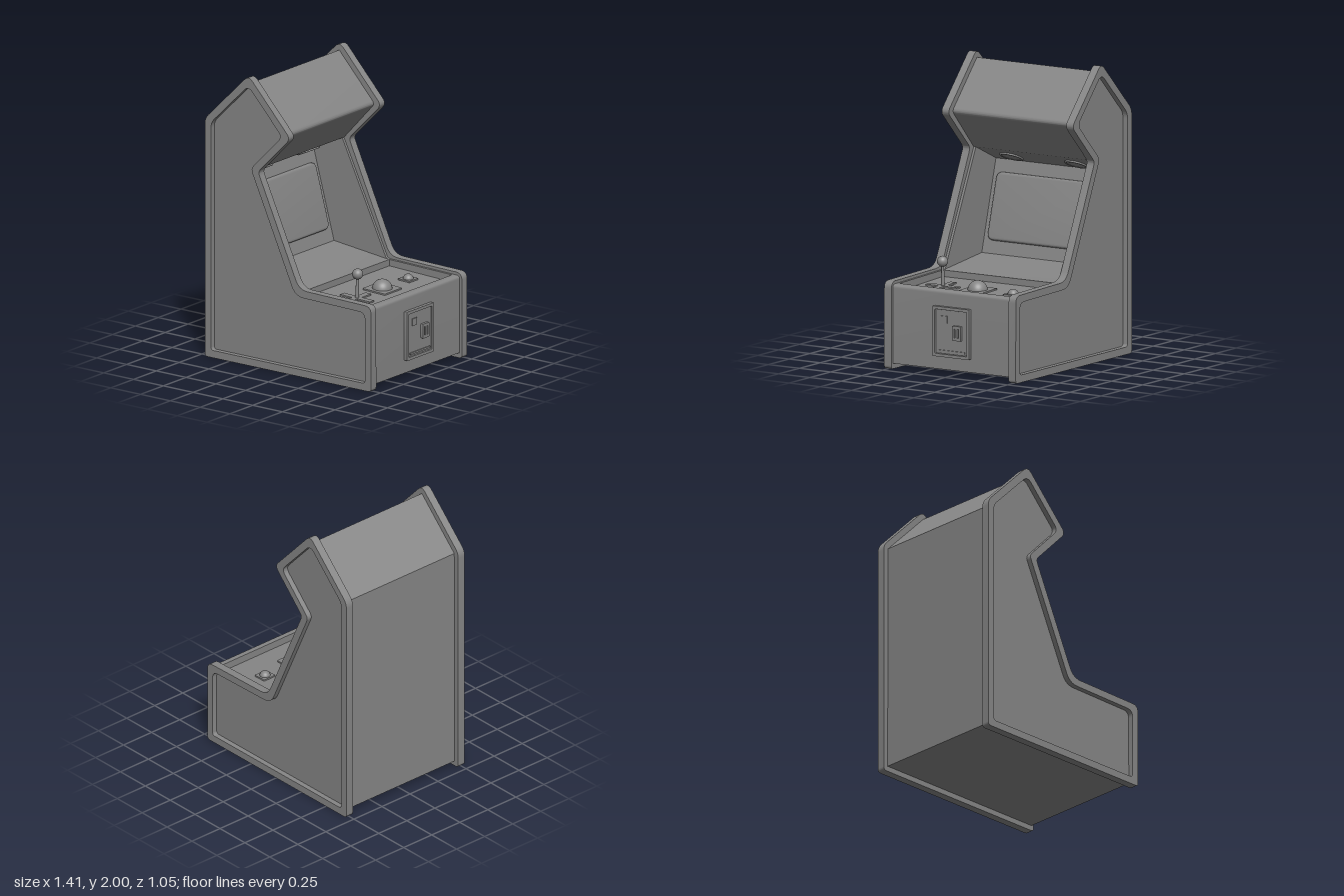
import * as THREE from 'three';
import { toCreasedNormals } from 'three/addons/utils/BufferGeometryUtils.js';

const material = new THREE.MeshStandardMaterial({ color: 0x868686 });
const V = (x, y) => new THREE.Vector2(x, y);

function add(parent, name, geometry, x = 0, y = 0, z = 0) {
  const mesh = new THREE.Mesh(geometry, material);
  mesh.name = name;
  mesh.position.set(x, y, z);
  parent.add(mesh);
  return mesh;
}

// Moves every edge of a counter-clockwise polygon inward by d
function inset(points, d) {
  const n = points.length;
  return points.map((p, i) => {
    const a = p.clone().sub(points[(i + n - 1) % n]).normalize();
    const b = points[(i + 1) % n].clone().sub(p).normalize();
    const na = V(-a.y, a.x), nb = V(-b.y, b.x);
    return p.clone().add(na.clone().add(nb).multiplyScalar(d / (1 + na.dot(nb))));
  });
}

// Shape with each corner rounded; radii holds the cut-back length per corner
function rounded(points, radii) {
  const shape = new THREE.Shape();
  const n = points.length;
  points.forEach((p, i) => {
    const r = Array.isArray(radii) ? radii[i] : radii;
    const toward = (q) => p.clone().add(q.clone().sub(p).setLength(r));
    const a = r ? toward(points[(i + n - 1) % n]) : p;
    if (i) shape.lineTo(a.x, a.y); else shape.moveTo(a.x, a.y);
    if (r) {
      const b = toward(points[(i + 1) % n]);
      shape.quadraticCurveTo(p.x, p.y, b.x, b.y);
    }
  });
  shape.closePath();
  return shape;
}

const rect = (w, h) => [V(-w / 2, -h / 2), V(w / 2, -h / 2), V(w / 2, h / 2), V(-w / 2, h / 2)];

function extrude(shape, depth, bevel = 0) {
  const geometry = new THREE.ExtrudeGeometry(shape, {
    depth, curveSegments: 8, bevelEnabled: bevel > 0,
    bevelSize: bevel, bevelThickness: bevel, bevelOffset: -bevel, bevelSegments: 5,
  });
  return toCreasedNormals(geometry, 0.36);
}

// Group lying on the surface from a to b: local y runs along it, z points out of it
function surface(parent, name, a, b, t) {
  const u = b.clone().sub(a).normalize();
  const group = new THREE.Group();
  group.name = name;
  group.setRotationFromMatrix(new THREE.Matrix4().makeBasis(
    new THREE.Vector3(0, 0, -1), new THREE.Vector3(u.x, u.y, 0), new THREE.Vector3(u.y, -u.x, 0)));
  const p = a.clone().lerp(b, t);
  group.position.set(p.x, p.y, 0);
  parent.add(group);
  return group;
}

export function createModel() {
  const model = new THREE.Group();
  model.name = 'arcadeCabinet';

  // Side profile of the cabinet, seen along z
  const outline = [V(-0.705, 0), V(0.691, 0), V(0.69, 0.592), V(0.087, 0.603),
    V(-0.258, 1.362), V(0.013, 1.637), V(-0.338, 2.017), V(-0.705, 1.655)];
  const corner = [0.025, 0.025, 0.05, 0.07, 0.03, 0.045, 0.05, 0.04];
  const hole = inset(outline, 0.051);

  // Side panels: raised rim around a sunken field
  for (const side of [1, -1]) {
    const panel = new THREE.Group();
    panel.name = side > 0 ? 'leftSidePanel' : 'rightSidePanel';
    const rim = rounded(outline, corner);
    rim.holes.push(rounded(hole, corner));
    add(panel, 'rim', extrude(rim, 0.057), 0, 0, side > 0 ? 0.47 : -0.527);
    add(panel, 'field', extrude(rounded(hole, corner), 0.02), 0, 0, side > 0 ? 0.47 : -0.49);
    model.add(panel);
  }

  // Body: two thin cheeks, and a core cut out for the screen and the sunken control deck
  const [, , , , , nose, apex, shoulder] = inset(outline, 0.04);
  const backBottom = V(-0.67, 0.037), frontBottom = V(0.671, 0.037), frontTop = V(0.671, 0.572);
  const notch = V(-0.3, 1.36);
  const cheek = [backBottom, frontBottom, frontTop, V(0.07, 0.586), notch, nose, apex, shoulder];
  for (const z of [0.452, -0.472]) {
    add(model, 'cheek', extrude(rounded(cheek, [0, 0, 0.025, 0.02, 0, 0.03, 0, 0]), 0.02), 0, 0, z);
  }
  const deckFront = V(0.62, 0.523), deckBack = V(0.095, 0.541);
  const wallBottom = V(-0.37, 0.634), wallTop = V(-0.54, 1.25);
  const core = [backBottom, frontBottom, frontTop, V(0.62, 0.5732), deckFront, deckBack,
    V(0.095, 0.5854), V(0.08, 0.586), wallBottom, wallTop, notch, nose, apex, shoulder];
  add(model, 'body', extrude(rounded(core, [0, 0, 0.025, 0, 0, 0, 0, 0, 0, 0, 0, 0.03, 0, 0]), 0.904), 0, 0, -0.452);

  // Screen on the leaning back wall
  const wall = surface(model, 'screenWall', wallBottom, wallTop, 0.5);
  add(wall, 'screen', extrude(rounded(rect(0.84, 0.462), 0.05), 0.004, 0.018));

  // Speakers in the ceiling above the screen
  const ceiling = surface(model, 'speakers', wallTop, notch, 0.42);
  for (const x of [0.26, -0.26]) {
    const plate = add(ceiling, 'speakerPlate', new THREE.CylinderGeometry(0.074, 0.074, 0.012, 40), x, 0, 0.002);
    plate.rotation.x = Math.PI / 2;
    add(ceiling, 'speakerRing', new THREE.TorusGeometry(0.074, 0.008, 10, 40), x, 0, 0.004);
  }

  // Controls on the deck
  const deck = surface(model, 'controls', deckFront, deckBack, 0.47);
  const stickX = -0.267, ballX = 0.01, buttonX = 0.295;
  add(deck, 'joystickSlot', new THREE.BoxGeometry(0.25, 0.046, 0.012), stickX, 0, 0.004);
  add(deck, 'joystickSlot', new THREE.BoxGeometry(0.046, 0.25, 0.012), stickX, 0, 0.004);
  const shaft = add(deck, 'joystickShaft', new THREE.CylinderGeometry(0.009, 0.013, 0.16, 16), stickX, 0, 0.08);
  shaft.rotation.x = Math.PI / 2;
  add(deck, 'joystickKnob', new THREE.SphereGeometry(0.037, 24, 16), stickX, 0, 0.174);

  add(deck, 'trackballPlate', extrude(rounded(rect(0.19, 0.19), 0.01), 0.012), ballX, 0, -0.002);
  add(deck, 'trackball', new THREE.SphereGeometry(0.068, 32, 20), ballX, 0, 0.004);

  add(deck, 'buttonPlate', extrude(rounded(rect(0.1, 0.096), 0.005), 0.012), buttonX, 0, -0.002);
  add(deck, 'button', new THREE.SphereGeometry(0.037, 24, 16), buttonX, 0, 0.005);

  // Coin door on the front, with local z pointing forward
  const door = new THREE.Group();
  door.name = 'coinDoor';
  door.position.set(0.66, 0.295, -0.009);
  door.rotation.y = Math.PI / 2;
  const frame = rounded(rect(0.295, 0.34), 0.008);
  frame.holes.push(rounded(rect(0.255, 0.3), 0.006));
  add(door, 'doorFrame', extrude(frame, 0.036));
  add(door, 'doorLeaf', extrude(rounded(rect(0.25, 0.295), 0.006), 0.026));
  add(door, 'doorSill', new THREE.BoxGeometry(0.22, 0.012, 0.012), 0, -0.13, 0.028);
  add(door, 'coinReturn', new THREE.BoxGeometry(0.05, 0.05, 0.01), -0.058, 0.083, 0.028);
  const slot = rounded(rect(0.07, 0.1), 0.006);
  for (const x of [-0.013, 0.013]) {
    slot.holes.push(rounded(rect(0.01, 0.06).map((p) => V(p.x + x, p.y)), 0));
  }
  add(door, 'coinSlot', extrude(slot, 0.025), 0.05, 0.0, 0.02);
  model.add(door);

  return model;
}
